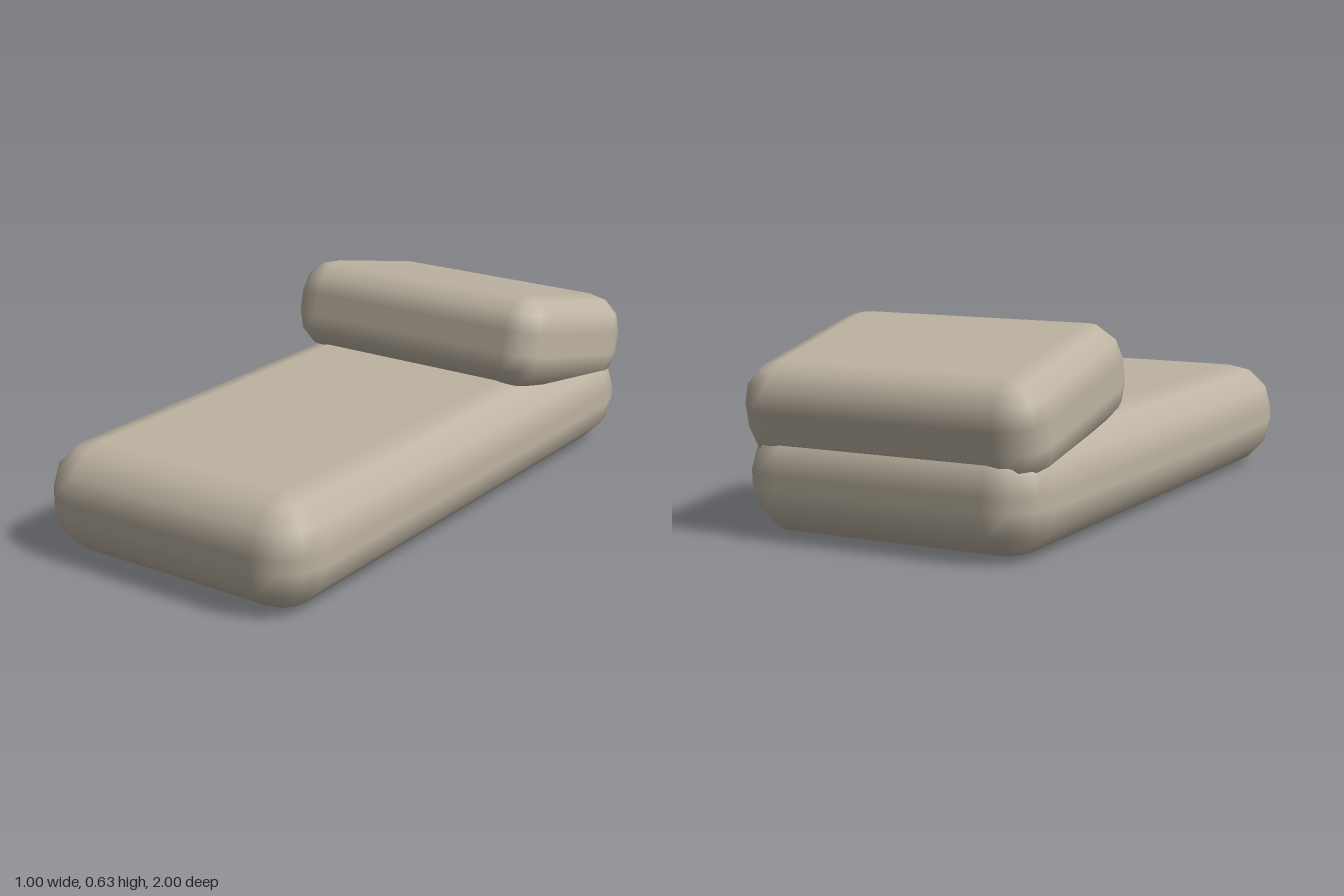
import * as THREE from 'three';

// Cushion block: a box with every edge and corner rounded in three steps
function cushionGeometry(width, height, depth, radius) {
  const hx = width / 2 - radius, hy = height / 2 - radius, hz = depth / 2 - radius;
  const steps = 3, quarter = Math.PI / 2;
  const positions = [], normals = [], indices = [];

  // outline of one horizontal ring: four corners of four points, closed
  const ring = [];
  for (let q = 0; q < 4; q++) {
    const sx = q === 0 || q === 3 ? 1 : -1, sz = q < 2 ? 1 : -1;
    for (let k = 0; k <= steps; k++) ring.push({ sx, sz, a: (q + k / steps) * quarter });
  }
  ring.push(ring[0]);

  // rows from bottom centre to top centre
  const rows = [{ s: -1, a: -quarter, inset: 0 }];
  for (const s of [-1, 1]) {
    for (let k = 0; k <= steps; k++) {
      const a = (s < 0 ? k / steps - 1 : k / steps) * quarter;
      rows.push({ s, a, inset: 1 });
    }
  }
  rows.push({ s: 1, a: quarter, inset: 0 });

  for (const row of rows) {
    for (const p of ring) {
      const nx = Math.cos(row.a) * Math.cos(p.a);
      const ny = Math.sin(row.a);
      const nz = Math.cos(row.a) * Math.sin(p.a);
      positions.push(
        p.sx * hx * row.inset + radius * nx,
        row.s * hy + radius * ny,
        p.sz * hz * row.inset + radius * nz
      );
      normals.push(nx, ny, nz);
    }
  }

  const n = ring.length;
  for (let j = 0; j < rows.length - 1; j++) {
    for (let i = 0; i < n - 1; i++) {
      const a = j * n + i, b = a + n;
      indices.push(a, b, a + 1, b, b + 1, a + 1);
    }
  }

  const geometry = new THREE.BufferGeometry();
  geometry.setAttribute('position', new THREE.Float32BufferAttribute(positions, 3));
  geometry.setAttribute('normal', new THREE.Float32BufferAttribute(normals, 3));
  geometry.setIndex(indices);
  return geometry;
}

export function createModel() {
  const group = new THREE.Group();
  group.name = 'cushionedLounger';

  const fabric = new THREE.MeshStandardMaterial({ color: 0xbdb3a2 });
  fabric.name = 'beigeFabric';

  // long seat cushion
  const seat = new THREE.Mesh(cushionGeometry(1, 0.352, 2, 0.155), fabric);
  seat.name = 'seatCushion';
  seat.position.y = 0.176;
  group.add(seat);

  // tilted head cushion, sunk into the back of the seat
  const head = new THREE.Mesh(cushionGeometry(1, 0.315, 0.7, 0.12), fabric);
  head.name = 'headCushion';
  head.position.set(0, 0.422, -0.65);
  head.rotation.x = THREE.MathUtils.degToRad(-12.8);
  group.add(head);

  return group;
}
